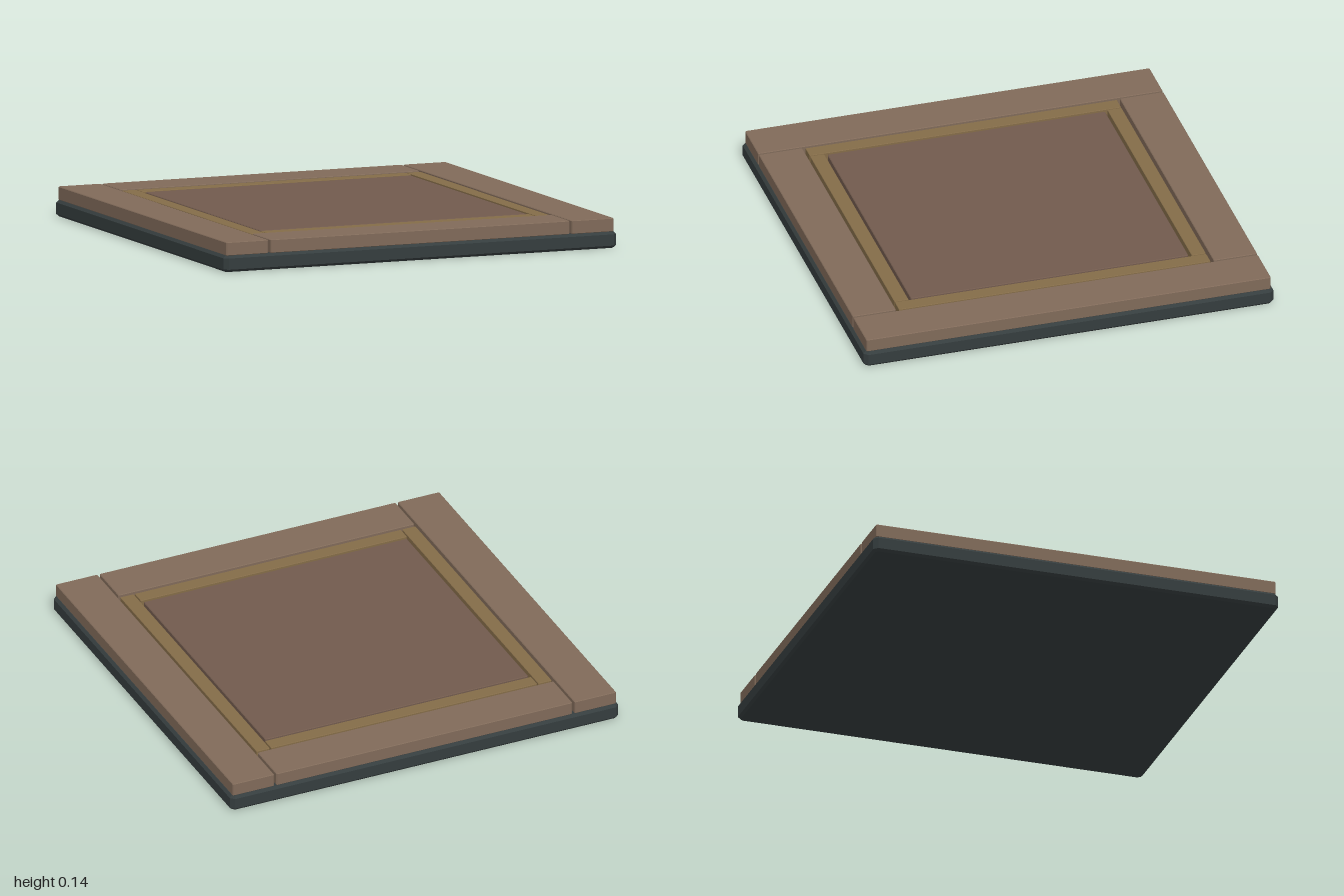
import * as THREE from 'three';

const mat = (color) => new THREE.MeshStandardMaterial({ color, flatShading: true });

// Slab with chamfered edges, standing from y0 to y1
function slab(name, w, d, y0, y1, c, material, x = 0, z = 0) {
  const a = w / 2 - c, b = d / 2 - c, k = c;
  const outline = new THREE.Shape([
    [-a + k, -b], [a - k, -b], [a, -b + k], [a, b - k],
    [a - k, b], [-a + k, b], [-a, b - k], [-a, -b + k],
  ].map(([px, py]) => new THREE.Vector2(px, py)));
  const geo = new THREE.ExtrudeGeometry(outline, {
    depth: y1 - y0 - 2 * c, bevelEnabled: true, bevelSize: c, bevelThickness: c, bevelSegments: 1,
  });
  geo.rotateX(-Math.PI / 2);
  geo.translate(x, y0 + c, z);
  const mesh = new THREE.Mesh(geo, material);
  mesh.name = name;
  return mesh;
}

export function createModel() {
  const group = new THREE.Group();
  group.name = 'panelledFloorTile';
  const dark = mat(0x353d3e), plank = mat(0x806a59), gold = mat(0x846c48), brown = mat(0x715a4d);

  // Dark base plate
  group.add(slab('basePlate', 2, 2, 0, 0.077, 0.012, dark));

  // Outer planks and inner trim, mirrored on both axes
  const y0 = 0.076, outer = 0.987;
  for (const s of [1, -1]) {
    const side = s > 0 ? 'left' : 'right', end = s > 0 ? 'front' : 'back';
    group.add(slab(side + 'Plank', outer - 0.773, 2 * outer, y0, 0.14, 0.003, plank, s * (outer + 0.773) / 2, 0));
    group.add(slab(end + 'Plank', 1.524, outer - 0.775, y0, 0.14, 0.003, plank, 0, s * (outer + 0.775) / 2));
    group.add(slab(side + 'Trim', 0.069, 1.52, y0, 0.137, 0.002, gold, s * 0.7255, 0));
    group.add(slab(end + 'Trim', 1.37, 0.069, y0, 0.137, 0.002, gold, 0, s * 0.7255));
  }

  // Centre panel
  group.add(slab('centrePanel', 1.355, 1.355, y0, 0.136, 0.003, brown));
  return group;
}
